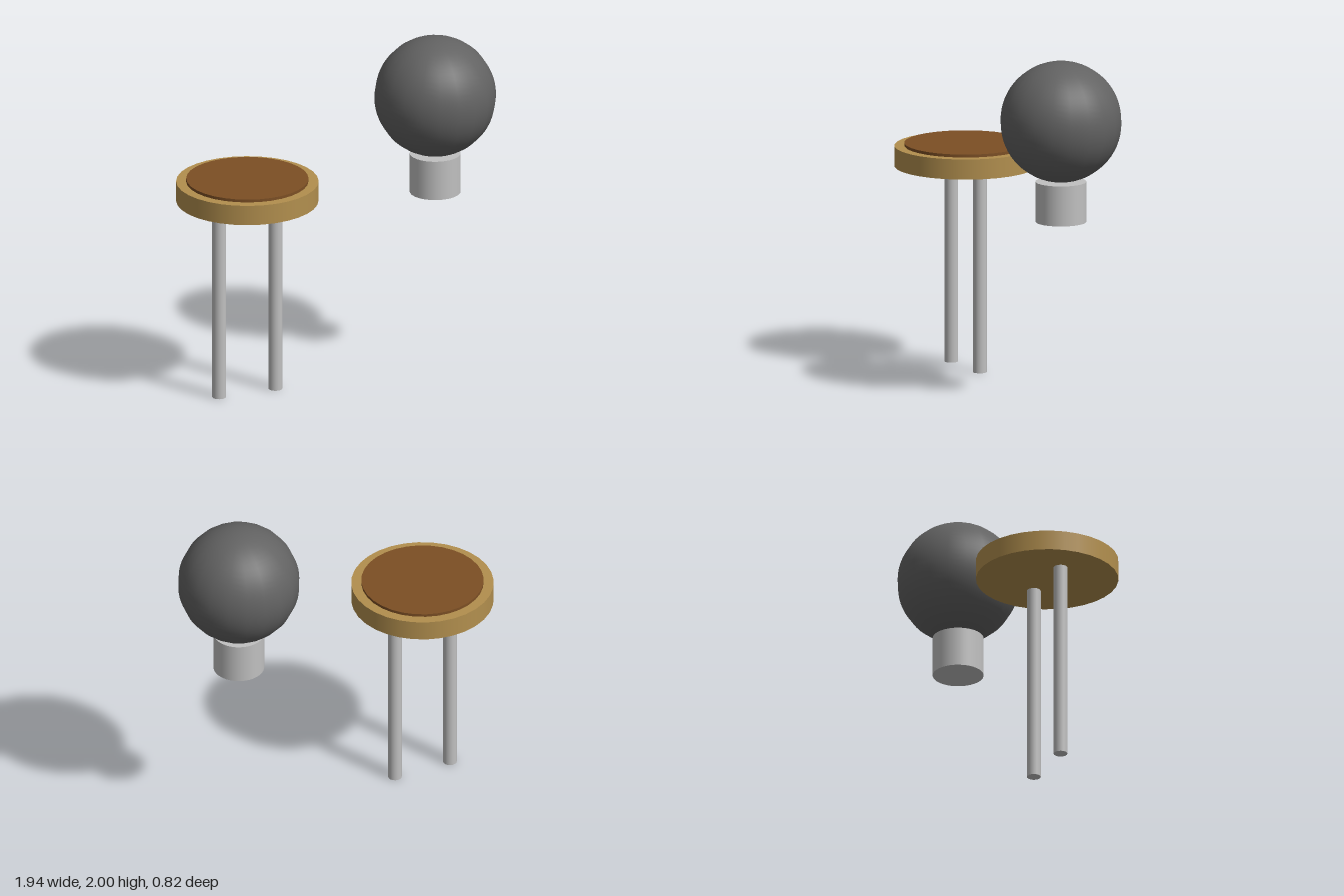
import * as THREE from 'three';

const flat = (name, color) => {
  const material = new THREE.MeshStandardMaterial({ color });
  material.name = name;
  return material;
};

export function createModel() {
  const model = new THREE.Group();
  const metal = flat('silver metal', 0xc0c0c0);
  const brass = flat('tan rim', 0xb28f4e);
  const brown = flat('brown pad', 0x7c4f24);
  const dark = flat('dark grey', 0x626262);

  const add = (name, geometry, material, x, y) => {
    const mesh = new THREE.Mesh(geometry, material);
    mesh.name = name;
    mesh.position.set(x, y, 0);
    model.add(mesh);
  };
  // Upright cylinder spanning bottom to top
  const cylinder = (name, material, x, radius, bottom, top, sides) =>
    add(name, new THREE.CylinderGeometry(radius, radius, top - bottom, sides), material, x, (bottom + top) / 2);

  // Round disc with a raised pad, on two legs
  const discX = -0.56;
  cylinder('disc', brass, discX, 0.41, 1.18, 1.298, 32);
  cylinder('pad', brown, discX, 0.352, 1.29, 1.315, 32);
  for (const side of [-1, 1]) {
    cylinder(side < 0 ? 'rightLeg' : 'leftLeg', metal, discX + side * 0.176, 0.04, 0, 1.18, 16);
  }

  // Ball resting on a short collar
  const ballX = 0.615;
  cylinder('collar', metal, ballX, 0.147, 1.063, 1.298, 32);
  add('ball', new THREE.SphereGeometry(0.351, 20, 32), dark, ballX, 1.649);

  return model;
}
